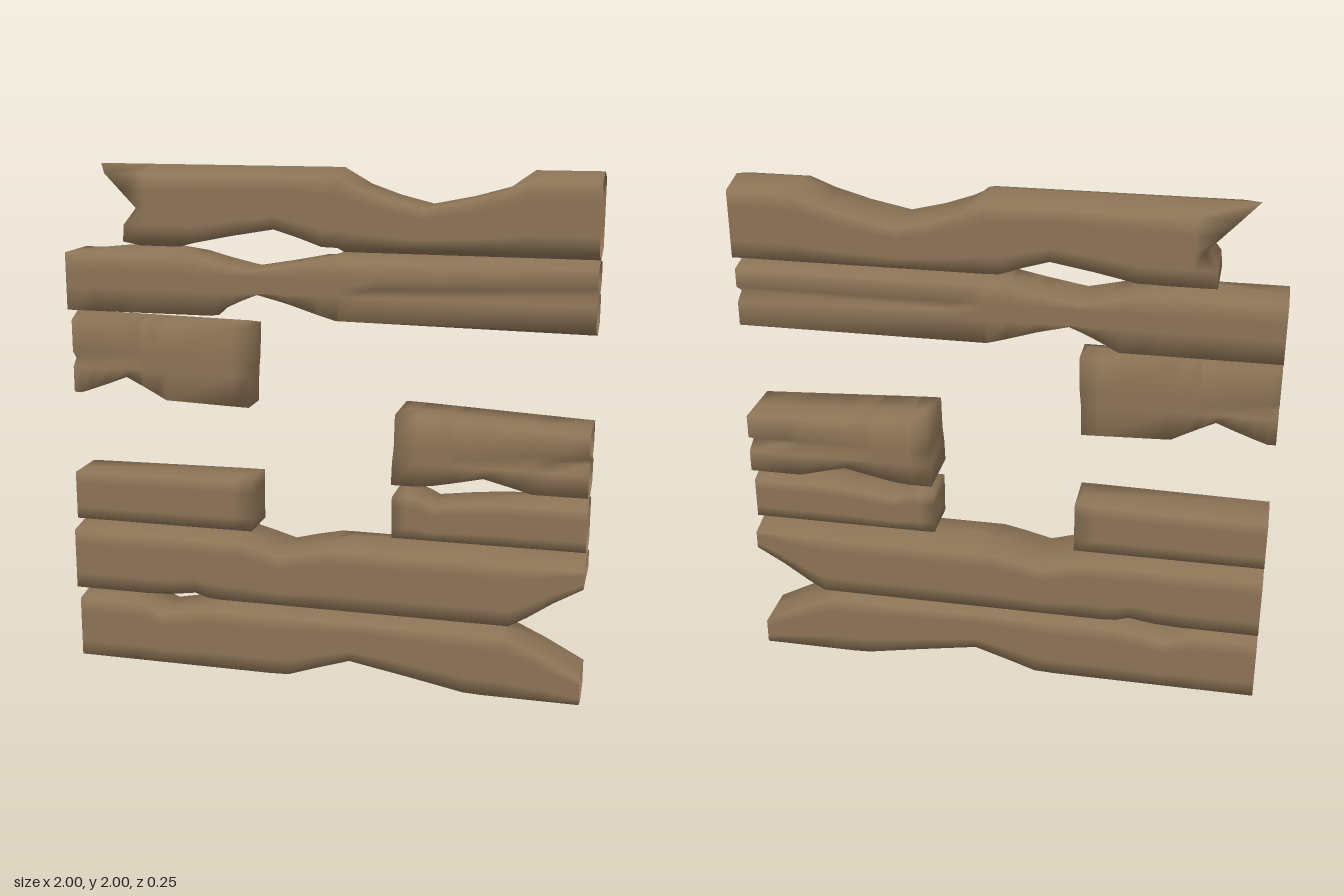
import * as THREE from 'three';

const wood = new THREE.MeshStandardMaterial({ color: 0x8b7355, side: THREE.DoubleSide });
wood.name = 'weathered wood';

const BEVEL = 0.03;

// A worn hollow in a log's edge: deepest at x = deep, where the edge reaches y
const wear = (from, deep, to, y, bend = 0.75) => ({ from, deep, to, y, bend });

// Edge height at x: a straight line from x = -1 to x = 1, bent by its hollows
function edgeHeight([left, right], hollows, x) {
  const base = THREE.MathUtils.lerp(left, right, (x + 1) / 2);
  const w = hollows.find(c => x >= c.from && x <= c.to);
  if (!w) return base;
  const rim = x < w.deep ? w.from : w.to;
  const s = x === w.deep ? 1 : (x - rim) / (w.deep - rim);
  return THREE.MathUtils.lerp(base, w.y, s ** w.bend);
}

// x of the 7 levels of a sawn end, top to bottom; dir is +1 for a right-hand end
const sawnEnd = (x, dir, lean = 0) =>
  Array.from({ length: 7 }, (_, k) => x + lean * (k / 6 - 0.5) - (k % 6 ? 0 : 0.03 * dir));

// A log with a six-sided section swept along x. Ends at x = -1 and 1 are open,
// start and end close the others; groove cuts a V into both sides.
function makeLog(name, half, { top, bottom, from = -1, to = 1, topWear = [], bottomWear = [], start, end, groove }) {
  const xs = [from, to];
  if (start) xs.push(from + 0.05);
  if (end) xs.push(to - 0.05);
  if (groove) xs.push(groove.from);
  for (const w of [...topWear, ...bottomWear]) {
    for (const rim of [w.from, w.to]) {
      for (const s of [0, 0.25, 0.6, 1]) xs.push(s === 1 ? w.deep : rim + (w.deep - rim) * s);
    }
  }
  const stations = [...new Set(xs)].sort((a, b) => a - b);
  const last = stations.length - 1;
  const crest = Math.max(...top) - BEVEL, keel = Math.min(...bottom) + BEVEL;
  const pos = [], idx = [], N = 12;

  stations.forEach((x, i) => {
    const t = edgeHeight(top, topWear, x), b = edgeHeight(bottom, bottomWear, x);
    const st = Math.min(t, crest), sb = Math.max(b, keel);
    const mid = groove ? groove.y : (st + sb) / 2;
    const h = groove ? BEVEL : (st - sb) / 4;
    const cut = groove ? groove.depth * Math.max(0, (x - groove.from) / (groove.to - groove.from)) : 0;
    const ys = [t, st, mid + h, mid, mid - h, sb, b];
    const closed = i === 0 ? start : i === last ? end : null;
    for (let j = 0; j < N; j++) {
      const k = Math.min(j, N - j);
      const z = k % 6 === 0 ? 0 : k === 3 ? half - cut : half;
      pos.push(closed ? closed[k] : x, ys[k], j <= 6 ? z : -z);
    }
  });

  // Bark
  for (let i = 0; i < last; i++) {
    for (let j = 0; j < N; j++) {
      const a = i * N + j, b = i * N + (j + 1) % N;
      idx.push(a, b, a + N, b, b + N, a + N);
    }
  }
  // Closed ends, as strips between the front and back halves of the ring
  const cap = (o, flip) => {
    const tri = (p, q, r) => flip ? idx.push(p, r, q) : idx.push(p, q, r);
    for (let k = 0; k < 6; k++) {
      const a = o + k, b = a + 1, c = o + N - k - 1;
      if (k < 5) tri(a, b, c);
      if (k > 0) tri(a, c, c + 1);
    }
  };
  if (start) cap(0, true);
  if (end) cap(last * N, false);

  const geo = new THREE.BufferGeometry();
  geo.setAttribute('position', new THREE.Float32BufferAttribute(pos, 3));
  geo.setIndex(idx);
  geo.computeVertexNormals();
  const mesh = new THREE.Mesh(geo, wood);
  mesh.name = name;
  return mesh;
}

export function createModel() {
  const group = new THREE.Group();
  group.name = 'brokenLogWall';

  // Upper logs; the top one has a splintered left end
  group.add(makeLog('topLog', 0.117, {
    top: [2, 2], bottom: [1.69, 1.69], from: -0.72,
    topWear: [wear(0.07, 0.38, 0.76, 1.865, 0.5)],
    bottomWear: [wear(-0.58, -0.17, 0.07, 1.78)],
    start: [-0.88, -0.82, -0.76, -0.7, -0.75, -0.755, -0.72],
  }));
  group.add(makeLog('upperLog', 0.1, {
    top: [1.7, 1.69], bottom: [1.445, 1.42],
    topWear: [wear(-1, -1, -0.73, 1.67, 1), wear(-0.56, -0.28, 0.07, 1.62)],
    bottomWear: [wear(-0.42, -0.24, 0.06, 1.535, 0.7)],
    groove: { y: 1.57, from: 0.2, to: 1, depth: 0.048 },
  }));

  // Short logs on either side of the opening
  group.add(makeLog('upperLeftStub', 0.067, {
    top: [1.435, 1.395], bottom: [1.12, 1.05], to: -0.3,
    bottomWear: [wear(-0.97, -0.78, -0.62, 1.19, 1)],
    end: sawnEnd(-0.282, 1, -0.018),
    groove: { y: 1.25, from: -0.72, to: -1, depth: 0.03 },
  }));
  group.add(makeLog('middleRightStub', 0.117, {
    top: [1.18, 1.08], bottom: [0.89, 0.815], from: 0.31,
    bottomWear: [wear(0.37, 0.62, 0.86, 0.892, 0.9)],
    start: sawnEnd(0.282, -1, -0.018),
    groove: { y: 0.96, from: 0.5, to: 1, depth: 0.05 },
  }));
  group.add(makeLog('lowerRightStub', 0.092, {
    top: [0.82, 0.82], bottom: [0.6, 0.6], from: 0.28,
    topWear: [wear(0.335, 0.43, 0.8, 0.76)],
    start: sawnEnd(0.275, -1),
  }));
  group.add(makeLog('lowerLeftStub', 0.092, {
    top: [0.8, 0.84], bottom: [0.6, 0.58], to: -0.3,
    end: sawnEnd(-0.275, 1),
  }));

  // Lower logs, tapering at the right
  group.add(makeLog('lowerLog', 0.125, {
    top: [0.59, 0.6], bottom: [0.3, 0.3],
    topWear: [wear(-0.37, -0.155, 0.1, 0.525, 0.9)],
    bottomWear: [wear(-0.77, -0.5, -0.37, 0.35), wear(0.73, 1, 1, 0.5)],
  }));
  group.add(makeLog('bottomLog', 0.1, {
    top: [0.287, 0.302], bottom: [0, 0],
    topWear: [wear(-0.77, -0.65, -0.37, 0.235, 1), wear(0.63, 1, 1, 0.13, 1.2)],
    bottomWear: [wear(-0.21, 0.115, 0.71, 0.115, 0.9)],
  }));
  return group;
}
